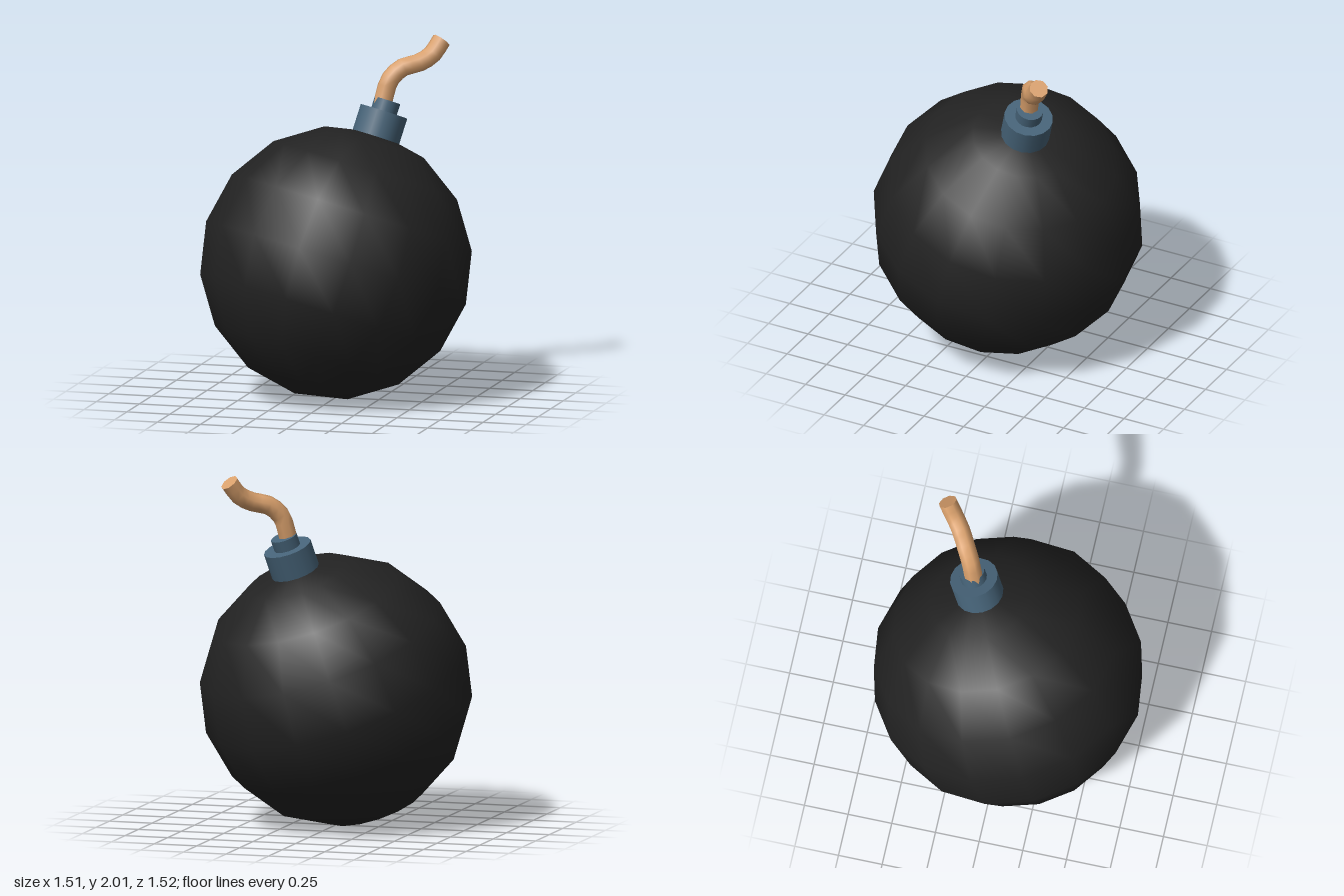
import * as THREE from 'three';

const mesh = (name, geometry, color, parent) => {
  const m = new THREE.Mesh(geometry, new THREE.MeshStandardMaterial({ color }));
  m.name = name;
  parent.add(m);
  return m;
};

export function createModel() {
  const model = new THREE.Group();
  model.name = 'bomb';

  // Ball and its metal fittings share one tilted axis
  const body = new THREE.Group();
  body.name = 'body';
  body.position.y = 0.766;
  body.rotation.set(-0.284, 0, -0.238);
  model.add(body);

  mesh('ball', new THREE.SphereGeometry(0.766, 16, 8), 0x222222, body);

  // Stacked collar and neck: [name, radius, bottom, top]
  for (const [name, radius, bottom, top] of [
    ['collar', 0.137, 0.71, 0.888],
    ['neck', 0.075, 0.85, 0.953],
  ]) {
    const part = mesh(name, new THREE.CylinderGeometry(radius, radius, top - bottom, 16), 0x466378, body);
    part.position.y = (bottom + top) / 2;
  }

  // Wavy fuse rising out of the neck
  const path = new THREE.CatmullRomCurve3([
    [0.195, 1.6, -0.232],
    [0.212, 1.69, -0.25],
    [0.235, 1.77, -0.266],
    [0.295, 1.835, -0.305],
    [0.38, 1.86, -0.355],
    [0.44, 1.9, -0.405],
    [0.483, 1.977, -0.452],
  ].map((p) => new THREE.Vector3(...p)));
  const fuseRadius = 0.054;
  const fuse = new THREE.Group();
  fuse.name = 'fuse';
  model.add(fuse);
  mesh('fuseCord', new THREE.TubeGeometry(path, 12, fuseRadius, 8), 0xd9a06c, fuse);

  // Flat end of the fuse, lined up with the last ring of the cord
  const end = path.getPointAt(1);
  const frame = path.computeFrenetFrames(12, false);
  const basis = new THREE.Matrix4().makeBasis(
    frame.normals[12],
    frame.tangents[12].clone().cross(frame.normals[12]),
    frame.tangents[12],
  );
  const tip = mesh('fuseTip', new THREE.CircleGeometry(fuseRadius, 8), 0xd9a06c, fuse);
  tip.quaternion.setFromRotationMatrix(basis);
  tip.position.copy(end);

  return model;
}
